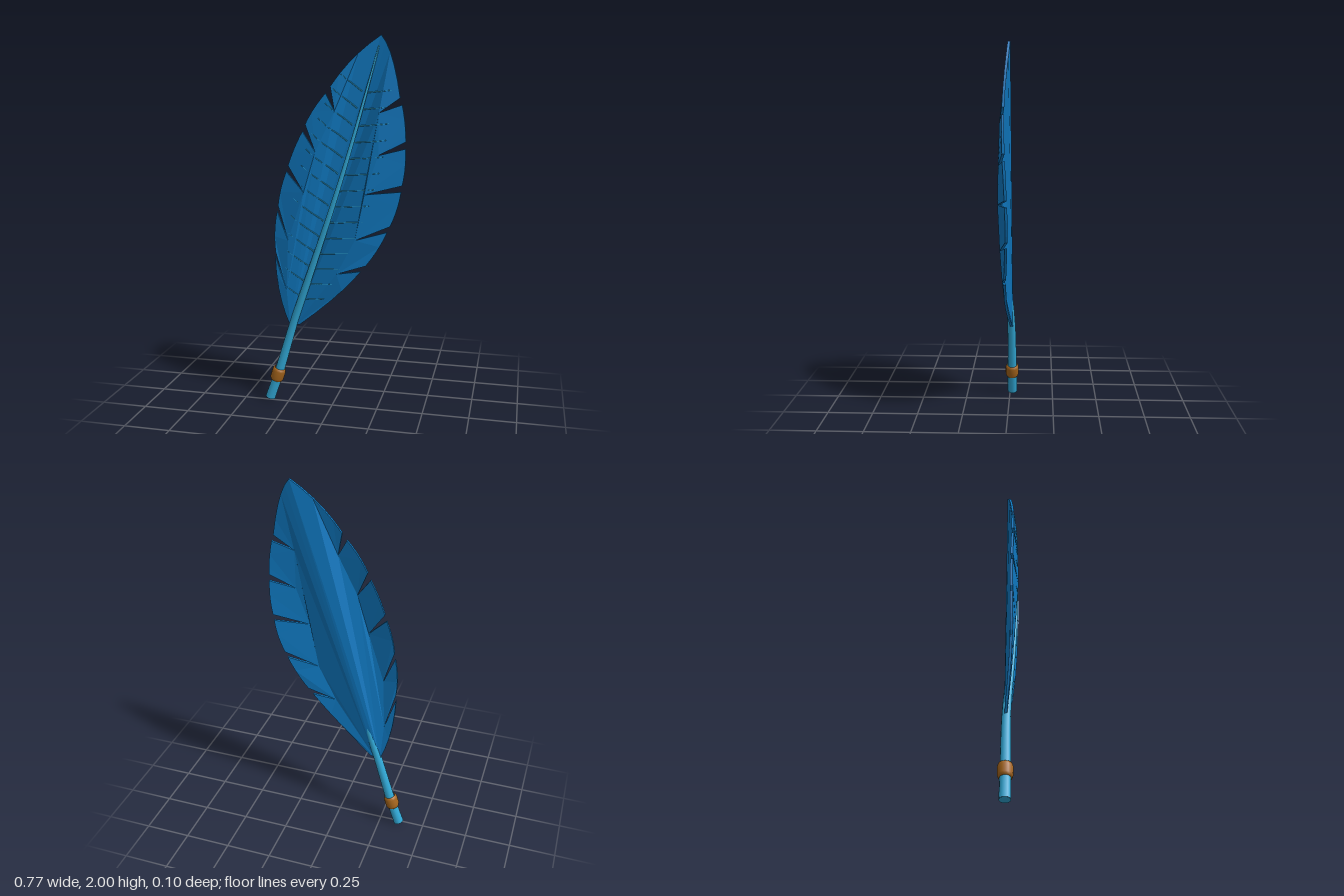
import * as THREE from 'three';

const BASE = [-0.21, 0.445], TIP = [0.25, 2.0];
const AXIS = new THREE.Vector2(TIP[0] - BASE[0], TIP[1] - BASE[1]);
const LENGTH = AXIS.length();
AXIS.normalize();

// Depth of the vane: bowed along its length, curling back toward the edges
function vaneDepth(x, y) {
  const dx = x - BASE[0], dy = y - BASE[1];
  const t = THREE.MathUtils.clamp((dx * AXIS.x + dy * AXIS.y) / LENGTH, 0, 1);
  const d = dx * AXIS.y - dy * AXIS.x;
  return -0.022 + Math.sin(Math.PI * t) * (0.068 - 0.5 * d * d);
}

// Each lobe: start, control, end; then the inner point of the notch after it
const RIGHT_LOBES = [
  [0.25, 2.0, 0.315, 1.93, 0.354, 1.69, 0.25, 1.615],
  [0.365, 1.656, 0.386, 1.56, 0.386, 1.47, 0.25, 1.4],
  [0.386, 1.434, 0.39, 1.33, 0.37, 1.243, 0.18, 1.196],
  [0.365, 1.21, 0.35, 1.11, 0.31, 1.026, 0.13, 0.95],
  [0.296, 0.995, 0.25, 0.89, 0.185, 0.81, 0.03, 0.76],
  [0.159, 0.778, 0.06, 0.65, -0.18, 0.455, ...BASE],
];
const LEFT_LOBES = [
  [-0.238, 0.44, -0.305, 0.6, -0.31, 0.836, -0.25, 0.65],
  [-0.307, 0.862, -0.32, 0.97, -0.296, 1.085, -0.233, 0.93],
  [-0.29, 1.117, -0.28, 1.21, -0.243, 1.3, -0.143, 1.196],
  [-0.233, 1.333, -0.2, 1.43, -0.153, 1.513, -0.08, 1.41],
  [-0.138, 1.55, -0.1, 1.63, -0.03, 1.71, 0.02, 1.62],
  [-0.005, 1.745, 0.1, 1.9, 0.25, 2.0, ...TIP],
];

// One half of the vane, from the shaft line out to the notched edge
function vaneHalf(lobes, from) {
  const shape = new THREE.Shape();
  shape.moveTo(...from);
  lobes.forEach(([sx, sy, cx, cy, ex, ey, nx, ny], i) => {
    if (sx !== from[0] || sy !== from[1]) shape.lineTo(sx, sy);
    shape.quadraticCurveTo(cx, cy, ex, ey);
    if (nx !== ex || ny !== ey) shape.lineTo(nx, ny);
  });
  const geo = new THREE.ExtrudeGeometry(shape, { depth: 0.013, bevelEnabled: false, curveSegments: 5 });
  const p = geo.attributes.position;
  for (let i = 0; i < p.count; i++) p.setZ(i, p.getZ(i) + vaneDepth(p.getX(i), p.getY(i)));
  geo.computeVertexNormals();
  return geo;
}

// Tube whose radius follows a rule along its length
function taperedTube(curve, segments, sides, radiusAt) {
  const geo = new THREE.TubeGeometry(curve, segments, 1, sides);
  const p = geo.attributes.position, v = new THREE.Vector3();
  for (let i = 0; i <= segments; i++) {
    const c = curve.getPointAt(i / segments);
    for (let j = 0; j <= sides; j++) {
      const k = i * (sides + 1) + j;
      v.fromBufferAttribute(p, k).sub(c).multiplyScalar(radiusAt(i / segments)).add(c);
      p.setXYZ(k, v.x, v.y, v.z);
    }
  }
  return geo;
}

export function createModel() {
  const group = new THREE.Group();
  const vaneBlue = new THREE.MeshStandardMaterial({ color: 0x0f78c0 });
  vaneBlue.name = 'vane blue';
  const shaftBlue = new THREE.MeshStandardMaterial({ color: 0x32aad8 });
  shaftBlue.name = 'shaft light blue';
  const bandBrown = new THREE.MeshStandardMaterial({ color: 0xa5651c });
  bandBrown.name = 'band brown';

  const add = (name, geo, mat, parent = group) => {
    const mesh = new THREE.Mesh(geo, mat);
    mesh.name = name;
    parent.add(mesh);
    return mesh;
  };

  // Vane
  const halves = {
    right: add('vaneRight', vaneHalf(RIGHT_LOBES, TIP), vaneBlue),
    left: add('vaneLeft', vaneHalf(LEFT_LOBES, BASE), vaneBlue),
  };

  // Shaft
  const path = new THREE.CatmullRomCurve3([
    [-0.36, 0.01, -0.014], [-0.31, 0.155, -0.014], [-0.217, 0.465, -0.012], [-0.095, 0.82, 0.012],
    [0.01, 1.13, 0.028], [0.09, 1.39, 0.026], [0.17, 1.68, 0.01], [0.24, 1.95, -0.012],
  ].map((a) => new THREE.Vector3(...a)));
  add('shaft', taperedTube(path, 40, 12, (t) => 0.028 - 0.024 * t), shaftBlue);
  const end = add('shaftEnd', new THREE.CircleGeometry(0.028, 12), shaftBlue);
  end.position.copy(path.getPointAt(0));
  end.quaternion.setFromUnitVectors(new THREE.Vector3(0, 0, 1), path.getTangentAt(0).negate());

  // Barbs lying half sunk in the front surface
  const barbs = new THREE.Group();
  barbs.name = 'barbs';
  group.add(barbs);
  const ray = new THREE.Raycaster();
  const back = new THREE.Vector3(0, 0, -1);
  for (const [side, sign] of [['right', 1], ['left', -1]]) {
    for (let i = 0; i < 14; i++) {
      const t = 0.1 + 0.055 * i;
      const reach = 0.06 + 0.13 * Math.sin(Math.PI * Math.min(1, t * 1.02));
      const points = [];
      for (let s = 0; s <= 6; s++) {
        const out = sign * (0.012 + (reach * s) / 6);
        const along = t * LENGTH + Math.abs(out) * 0.42;
        const x = BASE[0] + AXIS.x * along + AXIS.y * out;
        const y = BASE[1] + AXIS.y * along - AXIS.x * out;
        ray.set(new THREE.Vector3(x, y, 1), back);
        const hit = ray.intersectObject(halves[side])[0];
        if (!hit) break;
        points.push(hit.point);
      }
      if (points.length < 3) continue;
      const curve = new THREE.CatmullRomCurve3(points);
      add('barb', taperedTube(curve, 8, 4, (u) => 0.0035 - 0.002 * u), shaftBlue, barbs);
    }
  }

  // Band around the shaft
  const profile = [[0.027, -0.036], [0.033, -0.036], [0.038, -0.022], [0.038, 0.022], [0.033, 0.036], [0.027, 0.036]];
  const band = add('band', new THREE.LatheGeometry(profile.map((p) => new THREE.Vector2(...p)), 16), bandBrown);
  band.position.set(-0.313, 0.153, -0.014);
  band.rotation.z = -0.3;

  return group;
}
